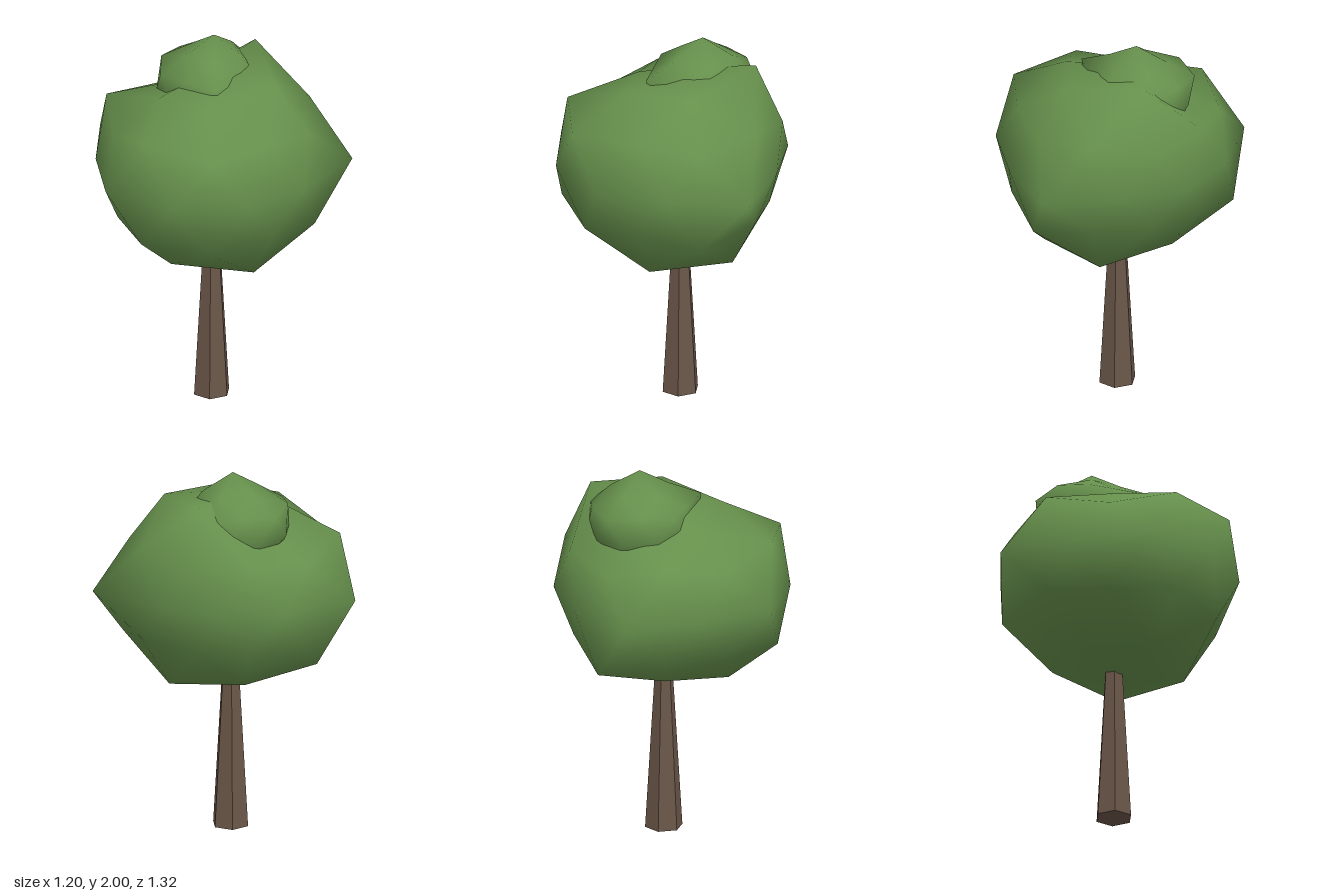
import * as THREE from 'three';

const leafGreen = new THREE.MeshStandardMaterial({ color: 0x66904c });
leafGreen.name = 'leafGreen';
const barkBrown = new THREE.MeshStandardMaterial({ color: 0x6a5648 });
barkBrown.name = 'barkBrown';

// Rings of a once-subdivided icosahedron: [ring radius for even / odd points, heights, first angle, step]
const RINGS = [
  { r: [0, 0], y: [1, 1], start: 0, step: 360 },
  { r: [0.526, 0.526], y: [0.851, 0.851], start: 0, step: 72 },
  { r: [0.894, 0.851], y: [0.447, 0.526], start: 0, step: 36 },
  { r: [1, 1], y: [0, 0], start: 18, step: 36 },
  { r: [0.851, 0.894], y: [-0.526, -0.447], start: 0, step: 36 },
  { r: [0.526, 0.526], y: [-0.851, -0.851], start: 36, step: 72 },
  { r: [0, 0], y: [-1, -1], start: 0, step: 360 },
];

// Lumpy, slightly squashed ball; radii holds one reach per point, ring by ring
function leafBall(name, radii, x, y, z) {
  const squash = 0.83, pos = [], index = [];
  RINGS.forEach((ring, i) => radii[i].forEach((reach, j) => {
    const a = THREE.MathUtils.degToRad(ring.start + ring.step * j);
    const r = ring.r[j % 2] * reach;
    pos.push(r * Math.cos(a), ring.y[j % 2] * reach * squash, r * Math.sin(a));
  }));
  const P = k => 1 + (k + 5) % 5;
  const U = j => 6 + (j + 10) % 10;
  const E = j => 16 + (j + 10) % 10;
  const L = j => 26 + (j + 10) % 10;
  const B = k => 36 + (k + 5) % 5;
  for (let k = 0; k < 5; k++) {
    // top cap
    index.push(0, P(k + 1), P(k));
    index.push(P(k), U(2 * k + 1), U(2 * k), P(k), U(2 * k), U(2 * k - 1));
    index.push(P(k), P(k + 1), U(2 * k + 1));
    // bottom cap
    index.push(L(2 * k), L(2 * k + 1), B(k), L(2 * k + 1), L(2 * k + 2), B(k));
    index.push(L(2 * k + 2), B(k + 1), B(k));
    index.push(B(k), B(k + 1), 41);
  }
  // middle bands
  for (let j = 0; j < 10; j++) {
    index.push(U(j), U(j + 1), E(j), U(j), E(j), E(j - 1));
    index.push(E(j - 1), E(j), L(j), E(j), L(j + 1), L(j));
  }
  const geo = new THREE.BufferGeometry();
  geo.setAttribute('position', new THREE.Float32BufferAttribute(pos, 3));
  geo.setIndex(index);
  geo.computeVertexNormals();
  const mesh = new THREE.Mesh(geo, leafGreen);
  mesh.name = name;
  mesh.position.set(x, y, z);
  return mesh;
}

export function createModel() {
  const tree = new THREE.Group();
  tree.name = 'tree';

  // Six-sided tapered trunk with flat faces
  const trunkGeo = new THREE.CylinderGeometry(0.04, 0.1, 1, 6).toNonIndexed();
  trunkGeo.computeVertexNormals();
  const trunk = new THREE.Mesh(trunkGeo, barkBrown);
  trunk.name = 'trunk';
  trunk.position.set(0.053, 0.5, 0.054);
  tree.add(trunk);

  // Main crown
  tree.add(leafBall('crown', [
    [0.61],
    [0.76, 0.67, 0.61, 0.55, 0.5],
    [0.604, 0.64, 0.6, 0.62, 0.72, 0.693, 0.6, 0.67, 0.6, 0.61],
    [0.556, 0.74, 0.61, 0.658, 0.66, 0.68, 0.6, 0.71, 0.59, 0.577],
    [0.555, 0.6, 0.67, 0.62, 0.67, 0.693, 0.6, 0.62, 0.71, 0.56],
    [0.71, 0.725, 0.67, 0.59, 0.645],
    [0.645],
  ], 0.05, 1.345, 0.05));

  // Small tuft sunk into the top
  tree.add(leafBall('topTuft', [
    [0.373],
    [0.3, 0.29, 0.31, 0.3, 0.3],
    [0.3, 0.25, 0.27, 0.27, 0.38, 0.3, 0.33, 0.34, 0.34, 0.31],
    [0.28, 0.27, 0.27, 0.28, 0.3, 0.28, 0.3, 0.305, 0.28, 0.27],
    [0.27, 0.27, 0.27, 0.27, 0.27, 0.27, 0.27, 0.27, 0.27, 0.27],
    [0.27, 0.27, 0.27, 0.27, 0.27],
    [0.27],
  ], 0.165, 1.69, -0.01));

  return tree;
}
